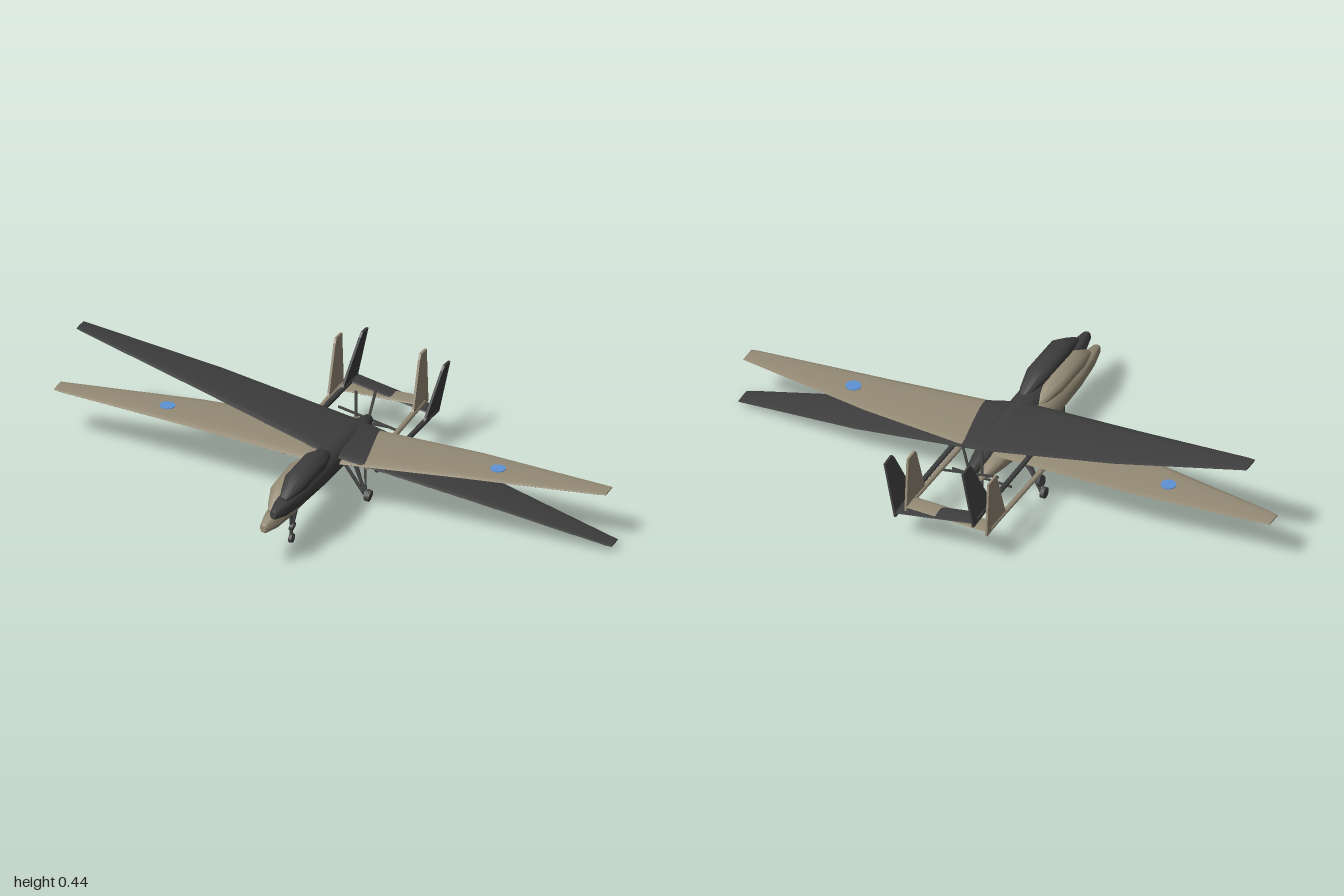
import * as THREE from 'three';
import { toCreasedNormals } from 'three/addons/utils/BufferGeometryUtils.js';

const mat = (name, color) => {
  const m = new THREE.MeshStandardMaterial({ color, side: THREE.DoubleSide });
  m.name = name;
  return m;
};

// Skin through closed rings of [x, y, z] points, capped at both ends
function loft(rings) {
  const n = rings[0].length, pos = rings.flat(2), idx = [];
  for (let i = 0; i < rings.length - 1; i++) {
    for (let j = 0; j < n; j++) {
      const a = i * n + j, b = i * n + (j + 1) % n;
      idx.push(a, b, a + n, b, b + n, a + n);
    }
  }
  const last = (rings.length - 1) * n;
  for (let j = 1; j < n - 1; j++) idx.push(0, j + 1, j, last, last + j, last + j + 1);
  const g = new THREE.BufferGeometry();
  g.setAttribute('position', new THREE.Float32BufferAttribute(pos, 3));
  g.setIndex(idx);
  return toCreasedNormals(g, 0.6);
}

// Elliptical body along z from [z, centreY, radiusX, radiusY]
const body = (sections, n = 24) => loft(sections.map(([z, cy, rx, ry]) =>
  Array.from({ length: n }, (_, j) => {
    const a = (j / n) * Math.PI * 2;
    return [rx * Math.cos(a), cy + ry * Math.sin(a), z];
  })));

// Aerofoil surface along x from [x, leadingZ, trailingZ, thickness]
const foil = (stations, y, n = 20) => loft(stations.map(([x, le, te, t]) =>
  Array.from({ length: n }, (_, j) => {
    const a = (j / n) * Math.PI * 2, s = Math.sin(a);
    return [x, y + (t / 2) * Math.cos(a) * (0.75 + 0.25 * s), (le + te) / 2 + ((le - te) / 2) * s];
  })));

// Round bar between two points
function bar(p, q, r) {
  const a = new THREE.Vector3(...p), b = new THREE.Vector3(...q);
  const d = b.clone().sub(a);
  const g = new THREE.CylinderGeometry(r, r, d.length(), 12);
  g.applyQuaternion(new THREE.Quaternion().setFromUnitVectors(new THREE.Vector3(0, 1, 0), d.normalize()));
  const c = a.add(b).multiplyScalar(0.5);
  return g.translate(c.x, c.y, c.z);
}

function createAircraft(skin, gear, marking) {
  const craft = new THREE.Group();
  const add = (name, geometry, material = skin) => {
    const m = new THREE.Mesh(geometry, material);
    m.name = name;
    craft.add(m);
    return m;
  };

  // Fuselage and the raised fairing over the nose
  add('fuselage', body([
    [-0.285, 0, 0.008, 0.008], [-0.27, 0, 0.017, 0.016], [-0.2, 0, 0.032, 0.03],
    [-0.1, 0, 0.045, 0.045], [0, 0, 0.05, 0.054], [0.2, -0.001, 0.049, 0.052],
    [0.36, -0.006, 0.042, 0.042], [0.47, -0.007, 0.03, 0.03],
    [0.535, -0.003, 0.016, 0.018], [0.545, -0.003, 0.01, 0.012]]));
  add('noseFairing', body([
    [0.11, 0.042, 0.012, 0.01], [0.14, 0.048, 0.025, 0.02], [0.22, 0.056, 0.042, 0.035],
    [0.38, 0.054, 0.041, 0.034], [0.44, 0.038, 0.025, 0.018], [0.475, 0.027, 0.012, 0.007]]));

  // Tapered wing
  add('wing', foil([
    [-0.985, -0.042, -0.105, 0.006], [-0.96, -0.036, -0.108, 0.009], [-0.5, 0.026, -0.165, 0.018],
    [0, 0.1, -0.19, 0.03],
    [0.5, 0.026, -0.165, 0.018], [0.96, -0.036, -0.108, 0.009], [0.985, -0.042, -0.105, 0.006]], 0.031));

  // Horizontal tail
  add('tailplane', foil([[-0.15, -0.465, -0.532, 0.01], [0.15, -0.465, -0.532, 0.01]], -0.01));

  // Fin outline, drawn with z reversed
  const finShape = new THREE.Shape([[0.392, -0.018], [0.405, 0.005], [0.458, 0.165], [0.468, 0.182],
    [0.517, 0.178], [0.532, -0.025]].map(p => new THREE.Vector2(...p)));

  for (const side of [-1, 1]) {
    const label = side > 0 ? 'left' : 'right';
    // Tail boom, hung under the wing
    add(label + 'Boom', bar([side * 0.15, -0.012, 0], [side * 0.15, -0.012, -0.5], 0.009));
    add(label + 'BoomPylon', new THREE.BoxGeometry(0.008, 0.04, 0.13).translate(side * 0.15, 0.01, -0.08));
    const fin = new THREE.ExtrudeGeometry(finShape, { depth: 0.008, bevelEnabled: false });
    fin.translate(0, 0, -0.004).rotateY(Math.PI / 2).translate(side * 0.151, 0, 0);
    add(label + 'Fin', fin);

    // Main landing gear
    add(label + 'MainStrut', bar([side * 0.035, -0.03, -0.06], [side * 0.112, -0.152, -0.07], 0.006), gear);
    add(label + 'MainBrace', bar([side * 0.06, 0.02, -0.09], [side * 0.108, -0.135, -0.07], 0.004), gear);
    add(label + 'MainAxle', bar([side * 0.108, -0.153, -0.07], [side * 0.128, -0.155, -0.07], 0.005), gear);
    add(label + 'MainWheel',
      bar([side * 0.117, -0.155, -0.07], [side * 0.131, -0.155, -0.07], 0.02), gear);

    // Round wing marking
    if (marking) {
      add(label + 'WingMarking',
        new THREE.CylinderGeometry(0.026, 0.026, 0.008, 20).translate(side * 0.59, 0.036, -0.07), marking);
    }
  }

  // Nose landing gear
  add('noseStrut', bar([0, -0.03, 0.3], [0, -0.14, 0.297], 0.006), gear);
  add('noseBracket', new THREE.BoxGeometry(0.016, 0.022, 0.028).translate(0, -0.062, 0.308), gear);
  for (const s of [-1, 1]) {
    add('noseFork', bar([0, -0.135, 0.297], [s * 0.008, -0.159, 0.295], 0.003), gear);
  }
  add('noseWheel', bar([-0.006, -0.159, 0.295], [0.006, -0.159, 0.295], 0.016), gear);

  // Pusher propeller
  for (const a of [0, Math.PI / 2]) {
    add('propellerBlade', new THREE.BoxGeometry(0.224, 0.009, 0.003).rotateZ(a).translate(0, -0.003, -0.275), gear);
  }
  return craft;
}

export function createModel() {
  const tan = mat('tan skin', 0x958b76);
  const charcoal = mat('charcoal skin', 0x3e3e3e);
  const grey = mat('gear grey', 0x454545);
  const blue = mat('marking blue', 0x5f92d6);
  const model = new THREE.Group();

  // Level aircraft
  const level = createAircraft(tan, grey, blue);
  level.name = 'levelAircraft';
  level.position.set(-0.012, 0.175, 0);

  // Banked aircraft overlapping it
  const banked = createAircraft(charcoal, grey, null);
  banked.name = 'bankedAircraft';
  banked.position.set(0.026, 0.199, -0.011);
  banked.rotation.set(-0.05, -0.0123, -0.211);

  model.add(level, banked);
  return model;
}
